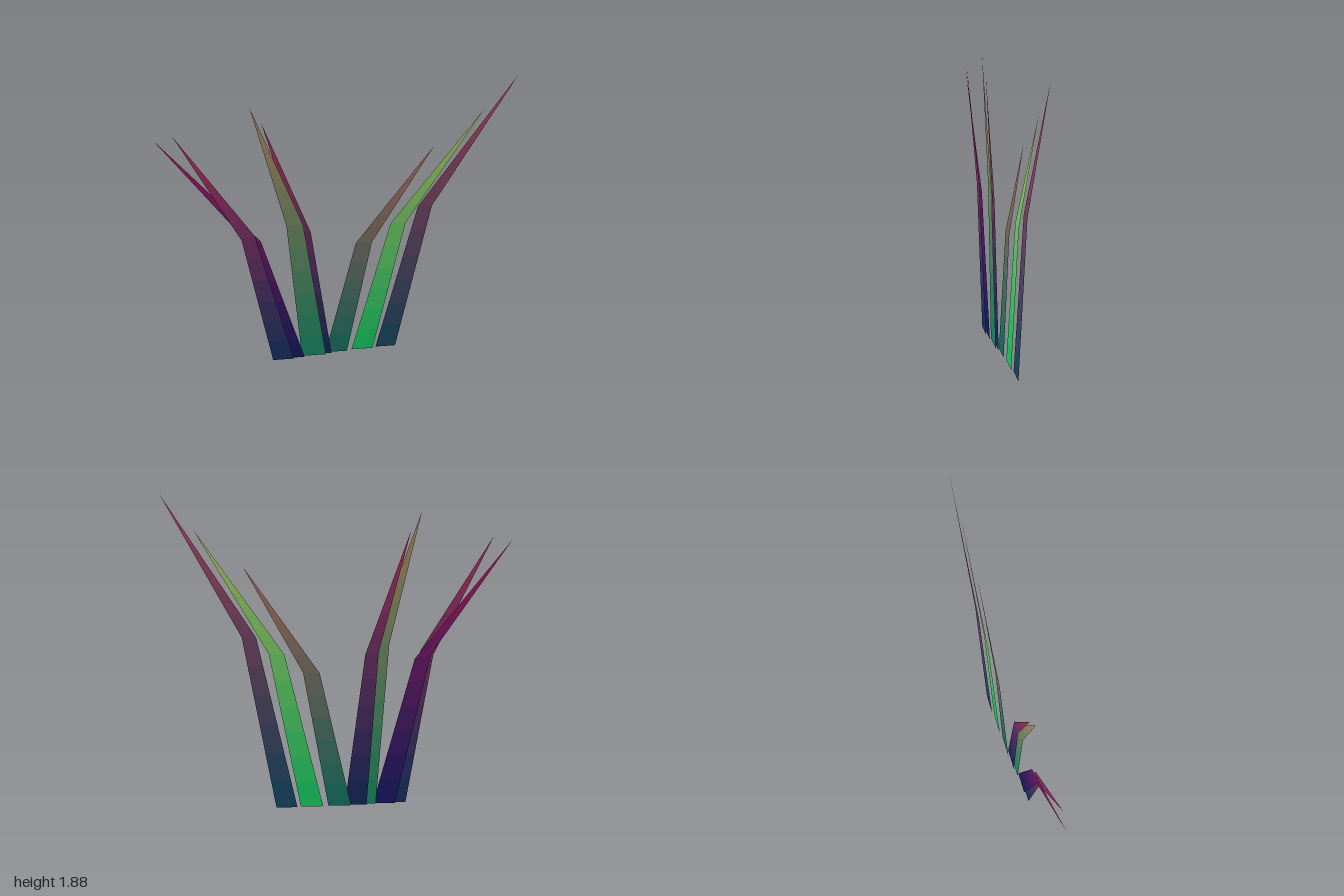
import * as THREE from 'three';

// Each blade, front to back: base left/right x, bend left/right points, tip,
// and the colours (red, green, blue out of 255) at the base, bend and tip.
const BLADES = [
  { base: [-0.41, -0.278], bend: [[-0.56, 0.93], [-0.484, 0.957]], tip: [-0.896, 1.634], colors: [[14, 46, 96], [116, 46, 98], [182, 46, 96]] },
  { base: [-0.345, -0.21], bend: [[-0.545, 0.935], [-0.45, 0.909]], tip: [-1.0, 1.61], colors: [[18, 20, 98], [104, 22, 98], [182, 18, 98]] },
  { base: [-0.226, -0.073], bend: [[-0.297, 1.0], [-0.2, 1.0]], tip: [-0.474, 1.775], colors: [[14, 136, 96], [112, 136, 96], [184, 136, 96]] },
  { base: [-0.17, -0.037], bend: [[-0.235, 0.955], [-0.156, 0.94]], tip: [-0.414, 1.67], colors: [[14, 36, 92], [104, 44, 94], [182, 46, 92]] },
  { base: [-0.075, 0.063], bend: [[0.112, 0.834], [0.209, 0.836]], tip: [0.549, 1.468], colors: [[14, 112, 96], [114, 108, 96], [180, 108, 96]] },
  { base: [0.094, 0.23], bend: [[0.318, 0.952], [0.408, 0.954]], tip: [0.823, 1.682], colors: [[14, 202, 96], [114, 202, 100], [188, 202, 100]] },
  { base: [0.25, 0.377], bend: [[0.479, 1.055], [0.562, 1.056]], tip: [1.0, 1.878], colors: [[16, 68, 96], [112, 66, 96], [188, 66, 96]] },
];
const LAYER_GAP = 0.01; // depth between neighbouring blades
const BANDS = 6; // colour steps in each half of a blade

// Flat patch of blade with the given outline
function patch(name, outline, rgb) {
  const color = new THREE.Color().setRGB(...rgb.map((c) => c / 255), THREE.SRGBColorSpace);
  const material = new THREE.MeshStandardMaterial({ color, side: THREE.DoubleSide });
  const mesh = new THREE.Mesh(new THREE.ShapeGeometry(new THREE.Shape(outline)), material);
  mesh.name = name;
  return mesh;
}

// One bent blade, graded in colour from base to tip
function createBlade({ base, bend, tip, colors }) {
  const blade = new THREE.Group();
  const point = (p) => new THREE.Vector2(...p);
  const sections = [base.map((x) => point([x, 0])), bend.map(point), [point(tip), point(tip)]];

  ['stalk', 'bladeTip'].forEach((name, half) => {
    const [from, to] = [sections[half], sections[half + 1]];
    const sectionAt = (t) => from.map((p, side) => p.clone().lerp(to[side], t));
    for (let i = 0; i < BANDS; i++) {
      const middle = (i + 0.5) / BANDS;
      const rgb = colors[half].map((c, k) => THREE.MathUtils.lerp(c, colors[half + 1][k], middle));
      const low = sectionAt(i / BANDS);
      const high = sectionAt((i + 1) / BANDS);
      // The last band closes in a single point
      const isEnd = half === 1 && i === BANDS - 1;
      const outline = isEnd ? [...low, high[0]] : [...low, high[1], high[0]];
      blade.add(patch(name, outline, rgb));
    }
  });
  return blade;
}

export function createModel() {
  const tuft = new THREE.Group();
  tuft.name = 'grassTuft';
  BLADES.forEach((spec, i) => {
    const blade = createBlade(spec);
    blade.name = `grassBlade${i + 1}`;
    blade.position.z = ((BLADES.length - 1) / 2 - i) * LAYER_GAP;
    tuft.add(blade);
  });
  return tuft;
}
